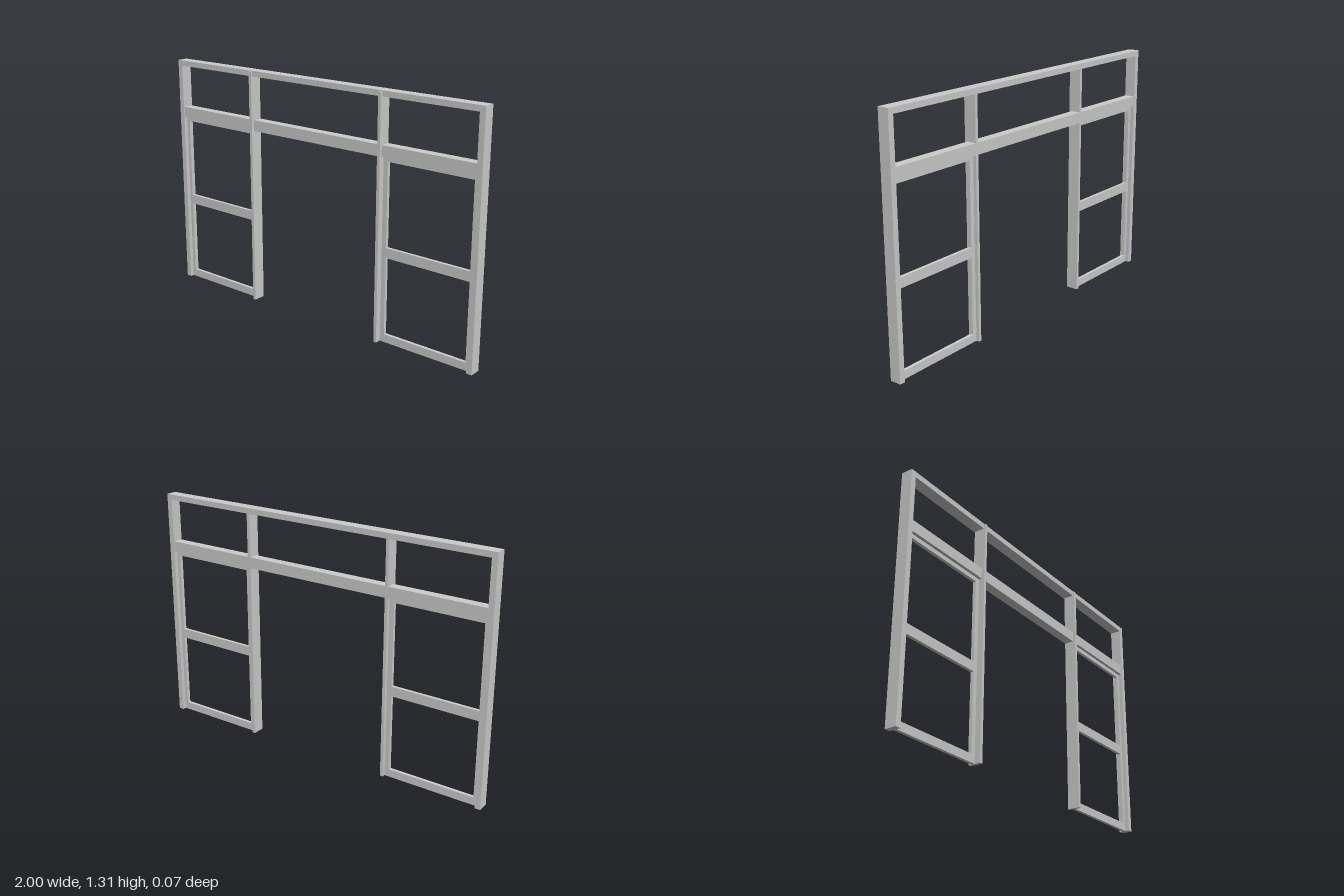
import * as THREE from 'three';

const material = new THREE.MeshStandardMaterial({ color: 0xcccccc, flatShading: true });

// Box given by its minimum and maximum on each axis
function bar(parent, name, [x0, x1], [y0, y1], [z0, z1]) {
  const mesh = new THREE.Mesh(new THREE.BoxGeometry(x1 - x0, y1 - y0, z1 - z0), material);
  mesh.position.set((x0 + x1) / 2, (y0 + y1) / 2, (z0 + z1) / 2);
  mesh.name = name;
  parent.add(mesh);
}

// Same box on the +x or -x side
function sideBar(parent, name, side, [x0, x1], y, z) {
  bar(parent, name, side > 0 ? [x0, x1] : [-x1, -x0], y, z);
}

export function createModel() {
  const model = new THREE.Group();
  model.name = 'partitionFrame';
  const height = 1.307;
  const frameZ = [-0.036, 0.026];
  const transomZ = [-0.032, 0.021];
  const sashZ = [-0.014, 0.004];

  // Head rail and the transom over the central opening
  bar(model, 'headRail', [-1, 1], [1.277, height], frameZ);
  bar(model, 'centerTransom', [-0.42, 0.42], [0.98, 1.04], transomZ);

  for (const side of [-1, 1]) {
    const bay = new THREE.Group();
    bay.name = side > 0 ? 'leftBay' : 'rightBay';
    model.add(bay);

    // Outer post, and mullion with a thin cap running over the head rail
    sideBar(bay, 'outerPost', side, [0.97, 1], [0, 1.277], frameZ);
    sideBar(bay, 'mullion', side, [0.42, 0.437], [0, 1.277], [-0.032, 0.026]);
    sideBar(bay, 'mullionCap', side, [0.42, 0.437], [0, 1.302], [0.026, 0.036]);
    sideBar(bay, 'sideTransom', side, [0.437, 0.97], [0.98, 1.04], transomZ);

    // Thin sash set in the middle of the frame depth
    const sash = new THREE.Group();
    sash.name = 'sash';
    bay.add(sash);
    sideBar(sash, 'innerStile', side, [0.437, 0.463], [0, 0.98], sashZ);
    sideBar(sash, 'outerStile', side, [0.95, 0.97], [0, 0.98], sashZ);
    const rails = { bottomRail: [0, 0.043], middleRail: [0.46, 0.513], topRail: [0.957, 0.98] };
    for (const [name, y] of Object.entries(rails)) sideBar(sash, name, side, [0.463, 0.95], y, sashZ);
  }
  return model;
}
